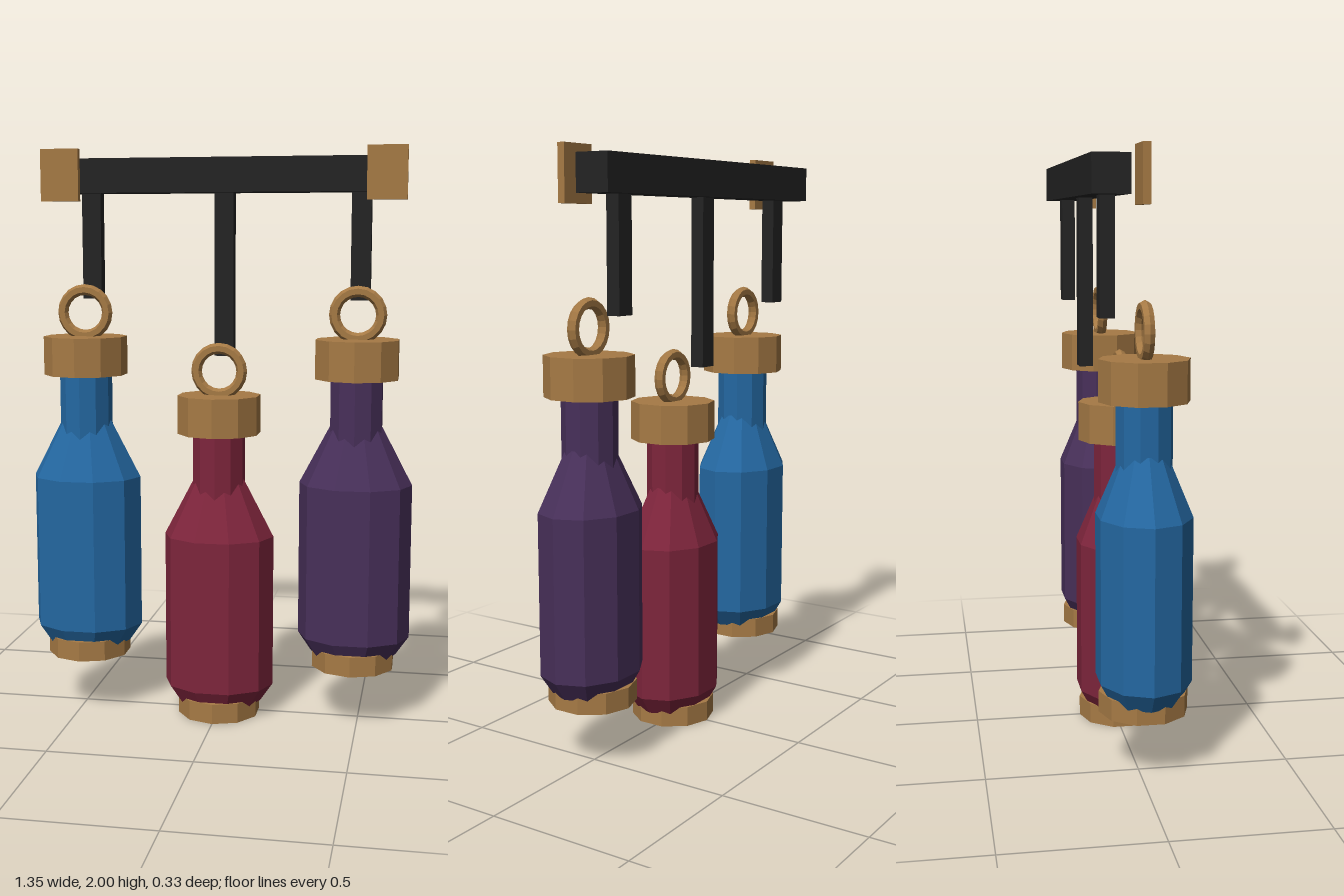
import * as THREE from 'three';

const SIDES = 10;

function material(name, color) {
  const m = new THREE.MeshStandardMaterial({ color, flatShading: true });
  m.name = name;
  return m;
}

function add(parent, name, geometry, mat, x = 0, y = 0, z = 0) {
  const mesh = new THREE.Mesh(geometry, mat);
  mesh.name = name;
  mesh.position.set(x, y, z);
  parent.add(mesh);
  return mesh;
}

// Upright prism spanning y0..y1, with a corner facing the front
function prism(radius, y0, y1) {
  return new THREE.CylinderGeometry(radius, radius, y1 - y0, SIDES).translate(0, (y0 + y1) / 2, 0);
}

// Box given by its lowest and highest corners
function span(x0, x1, y0, y1, z0, z1) {
  return new THREE.BoxGeometry(x1 - x0, y1 - y0, z1 - z0)
    .translate((x0 + x1) / 2, (y0 + y1) / 2, (z0 + z1) / 2);
}

// Slightly flattened bottle with brass-coloured base, cap and hanging ring
function makeBottle(glass, brass) {
  const bottle = new THREE.Group();
  const profile = [[0, 0.045], [0.15, 0.045], [0.195, 0.11], [0.195, 0.65], [0.09, 0.85], [0, 0.85]]
    .map(([r, y]) => new THREE.Vector2(r, y));
  const body = new THREE.LatheGeometry(profile, SIDES).rotateY(Math.PI / 2).scale(1, 1, 0.8);
  add(bottle, 'body', body, glass);
  add(bottle, 'neck', prism(0.092, 0.7, 1.03), glass);
  add(bottle, 'base', prism(0.147, 0, 0.07), brass);
  add(bottle, 'cap', prism(0.147, 1.015, 1.15), brass);
  add(bottle, 'ring', new THREE.TorusGeometry(0.08, 0.019, 6, 20), brass, 0, 1.233, 0);
  return bottle;
}

export function createModel() {
  const model = new THREE.Group();
  model.name = 'hangingBottles';
  const iron = material('black iron', 0x242424);
  const brass = material('brass', 0xa67a45);
  const blue = material('blue glass', 0x2468a2);
  const red = material('red glass', 0x7e253c);
  const purple = material('purple glass', 0x48305a);

  // Rail along the back
  add(model, 'rail', span(-0.622, 0.622, 1.85, 1.97, -0.167, -0.048), iron);

  // Bottles, each with its hanger behind
  const bottles = [
    ['rightBottle', -0.48, 0.2, blue],
    ['middleBottle', 0, 0, red],
    ['leftBottle', 0.48, 0.2, purple],
  ];
  for (const [name, x, y, glass] of bottles) {
    const bottle = makeBottle(glass, brass);
    bottle.name = name;
    bottle.position.set(x, y, 0.019);
    model.add(bottle);
    add(model, 'hanger', span(x - 0.034, x + 0.034, y + 1.278, 1.86, -0.127, -0.08), iron);
  }

  // Plates in front of the rail ends
  for (const side of [-1, 1]) {
    add(model, 'endPlate', span(-0.068, 0.068, 1.82, 2, -0.017, 0.008), brass, side * 0.57);
  }
  return model;
}
